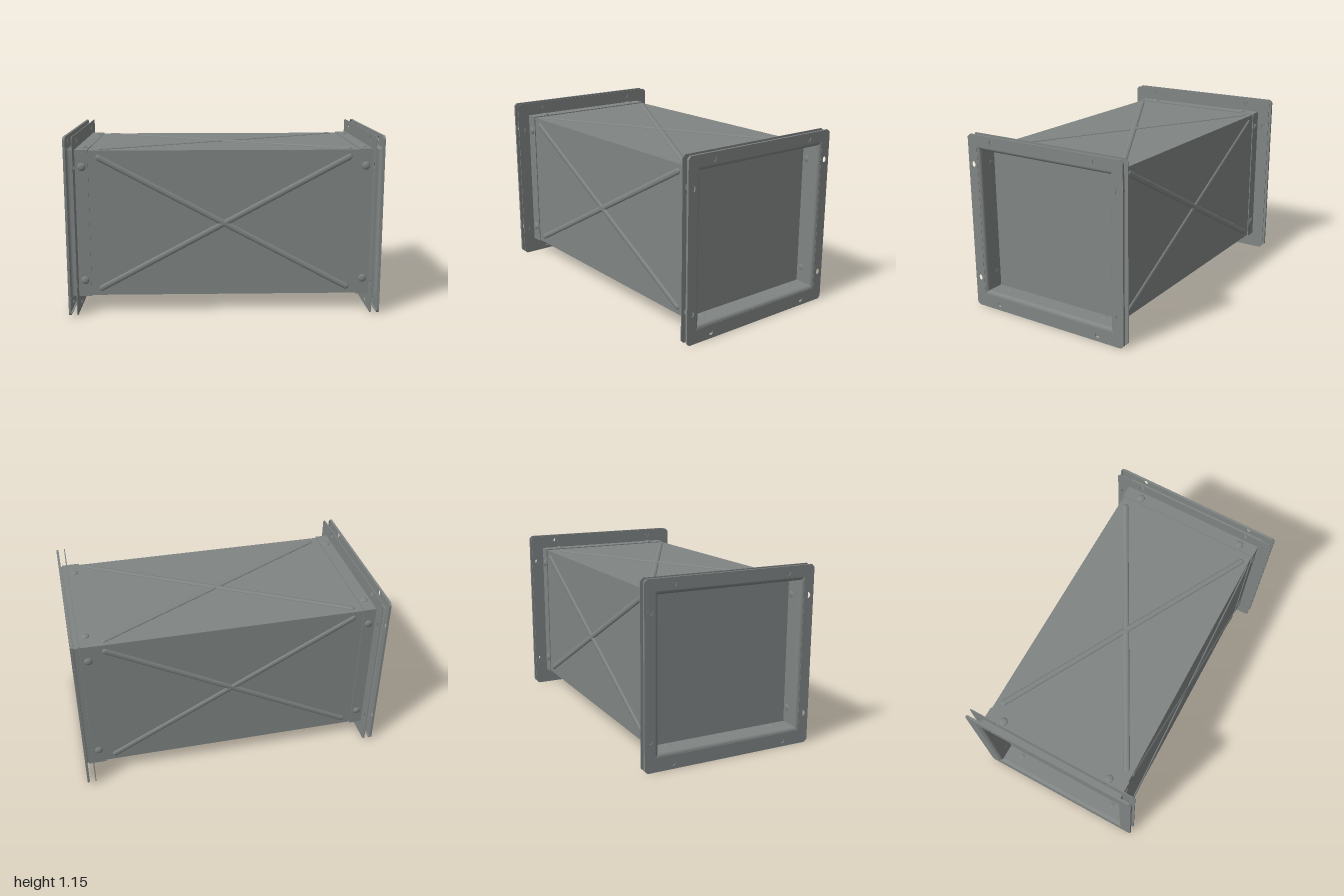
import * as THREE from 'three';

const BODY_Y = 0.583, HALF_Y = 0.472, HALF_Z = 0.484; // duct section
const FLANGE_Y = 0.575, FLANGE = 0.575;               // flange section
const BEND = 0.022;                                   // radius of the flange bend

// Rectangle outline with chamfered corners, centred at (0, cy)
function outline(target, hw, hh, cy, c) {
  const pts = [[hw, hh - c], [hw - c, hh], [-hw + c, hh], [-hw, hh - c],
    [-hw, -hh + c], [-hw + c, -hh], [hw - c, -hh], [hw, -hh + c]];
  target.setFromPoints(pts.map(([x, y]) => new THREE.Vector2(x, y + cy)));
  return target;
}

// Flat ring extruded along +x from x0
function ring(outer, inner, x0, depth, holes = []) {
  const shape = outline(new THREE.Shape(), ...outer);
  shape.holes.push(outline(new THREE.Path(), ...inner));
  for (const [z, y] of holes) {
    const hole = new THREE.Path();
    hole.absellipse(z, y, 0.015, 0.019, 0, Math.PI * 2, true);
    shape.holes.push(hole);
  }
  const g = new THREE.ExtrudeGeometry(shape, { depth, bevelEnabled: false, curveSegments: 12 });
  g.rotateY(Math.PI / 2);
  g.translate(x0, 0, 0);
  return g;
}

// Mitred quarter-round bend leading from the collar out to the flange plate
function bendGeometry() {
  const pos = [], idx = [], steps = 6;
  const corners = [[1, 1], [-1, 1], [-1, -1], [1, -1]];
  for (let side = 0; side < 4; side++) {
    const base = pos.length / 3;
    for (let i = 0; i <= steps; i++) {
      const a = (i / steps) * Math.PI / 2;
      const r = BEND * (1 - Math.cos(a)), x = 0.998 - BEND + BEND * Math.sin(a);
      for (const [sz, sy] of [corners[side], corners[(side + 1) % 4]]) {
        pos.push(x, BODY_Y + sy * (HALF_Y + r), sz * (HALF_Z + r));
      }
      if (i < steps) {
        const k = base + i * 2;
        idx.push(k, k + 1, k + 2, k + 1, k + 3, k + 2);
      }
    }
  }
  const g = new THREE.BufferGeometry();
  g.setAttribute('position', new THREE.Float32BufferAttribute(pos, 3));
  g.setIndex(idx);
  g.computeVertexNormals();
  return g;
}

export function createModel() {
  const model = new THREE.Group();
  model.name = 'ductSection';
  const steel = new THREE.MeshStandardMaterial({ color: 0x808584, side: THREE.DoubleSide });
  steel.name = 'galvanised steel';

  const add = (parent, name, geometry) => {
    const mesh = new THREE.Mesh(geometry, steel);
    mesh.name = name;
    parent.add(mesh);
    return mesh;
  };

  // Closed duct body; its ends sit recessed inside the flanges
  add(model, 'ductBody', new THREE.BoxGeometry(1.74, HALF_Y * 2, HALF_Z * 2)).position.y = BODY_Y;

  // Crossed stiffening ridges on the four sides
  const ridgeX = 0.81;
  for (let i = 0; i < 4; i++) {
    const flat = i % 2 === 1;
    const face = new THREE.Group();
    face.name = 'crossRidges';
    face.position.y = BODY_Y;
    face.rotation.x = i * Math.PI / 2;
    const ridgeY = flat ? 0.445 : 0.435;
    const length = 2 * Math.hypot(ridgeX, ridgeY);
    for (const s of [-1, 1]) {
      const ridge = add(face, 'ridge', new THREE.CapsuleGeometry(0.019, length - 0.038, 5, 12));
      ridge.position.z = flat ? HALF_Y : HALF_Z;
      ridge.scale.z = 0.5;
      ridge.rotation.z = s * Math.atan2(ridgeX, ridgeY);
    }
    model.add(face);
  }

  // Bolt holes, two along each edge of the flange
  const holes = [];
  for (const s of [-1, 1]) {
    for (const y of [0.04, 1.113]) holes.push([s * 0.387, y]);
    for (const y of [0.198, 0.96]) holes.push([s * 0.539, y]);
  }

  const plateOuter = [FLANGE, FLANGE, FLANGE_Y, 0.018];
  const section = grow => [HALF_Z + grow, HALF_Y + grow, BODY_Y, 0];

  for (const side of ['left', 'right']) {
    const end = new THREE.Group();
    end.name = side + 'Flange';
    if (side === 'right') end.rotation.y = Math.PI;

    add(end, 'collar', ring(section(0.006), section(0), 0.86, 0.138 - BEND));
    add(end, 'flangeBend', bendGeometry());
    add(end, 'outerPlate', ring(plateOuter, section(BEND), 0.995, 0.005, holes));
    add(end, 'innerPlate', ring(plateOuter, section(0.004), 0.942, 0.005, holes));
    // Folded rim around the outer plate
    const rimInner = [FLANGE - 0.005, FLANGE - 0.005, FLANGE_Y, 0.016];
    add(end, 'foldedRim', ring(plateOuter, rimInner, 0.985, 0.012));

    // Rivets holding the collar to the duct
    for (const s of [-1, 1]) {
      for (const t of [-1, 1]) {
        const wall = add(end, 'sideRivet', new THREE.SphereGeometry(0.026, 16, 10));
        wall.position.set(0.9, BODY_Y + t * 0.37, s * (HALF_Z + 0.006));
        wall.scale.z = 0.4;
        const lid = add(end, 'topBottomRivet', new THREE.SphereGeometry(0.026, 16, 10));
        lid.position.set(0.9, BODY_Y + s * (HALF_Y + 0.006), t * 0.373);
        lid.scale.y = 0.4;
      }
    }
    model.add(end);
  }
  return model;
}
